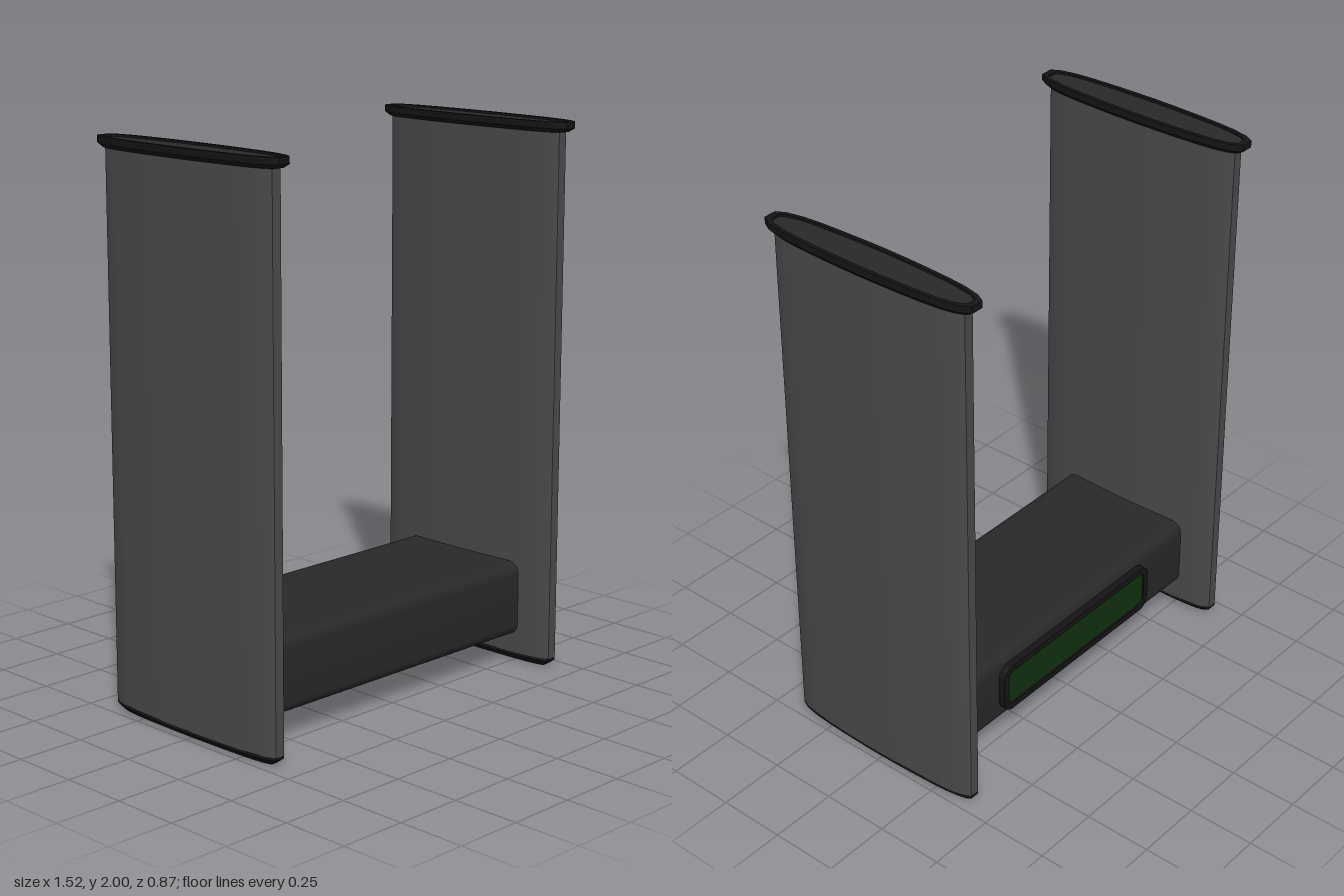
import * as THREE from 'three';
import { toCreasedNormals } from 'three/addons/utils/BufferGeometryUtils.js';

const mat = (color) => new THREE.MeshStandardMaterial({ color });
const shellMat = mat(0x4a4a4a), barMat = mat(0x282828), trimMat = mat(0x141414), screenMat = mat(0x12300f);

// One quadrant of the blunt-ended lens section, as fractions of its half width and half depth
const QUADRANT = [[1, 0], [0.985, 0.2], [0.945, 0.4], [0.875, 0.62], [0.78, 0.78], [0.6, 0.92], [0.33, 1]];
const half = [...QUADRANT, ...QUADRANT.slice().reverse().map(([x, z]) => [-x, z])]
  .filter(([x], i, a) => i === 0 || x !== a[i - 1][0]);
const LENS = [...half, ...half.slice(1, -1).reverse().map(([x, z]) => [x, -z])];

// Loft the lens section through levels of [half width, half depth, y]
function loftLens(levels) {
  const n = LENS.length, pos = [], index = [];
  for (const [hx, hz, y] of levels) for (const [x, z] of LENS) pos.push(x * hx, y, z * hz);
  for (let i = 0; i < levels.length - 1; i++) {
    for (let j = 0; j < n; j++) {
      const a = i * n + j, b = i * n + (j + 1) % n;
      index.push(a, a + n, b + n, a, b + n, b);
    }
  }
  const g = new THREE.BufferGeometry();
  g.setAttribute('position', new THREE.Float32BufferAttribute(pos, 3));
  g.setIndex(index);
  return toCreasedNormals(g, 0.6);
}

function roundedRect(w, h, r, Type = THREE.Shape) {
  const s = new Type(), x = w / 2, y = h / 2;
  s.absarc(x - r, y - r, r, 0, Math.PI / 2);
  s.absarc(-x + r, y - r, r, Math.PI / 2, Math.PI);
  s.absarc(-x + r, -y + r, r, Math.PI, Math.PI * 1.5);
  s.absarc(x - r, -y + r, r, Math.PI * 1.5, Math.PI * 2);
  s.closePath();
  return s;
}

const extrude = (shape, depth) =>
  toCreasedNormals(new THREE.ExtrudeGeometry(shape, { depth, bevelEnabled: false, curveSegments: 8 }), 0.6);

function add(parent, name, geometry, material) {
  const mesh = new THREE.Mesh(geometry, material);
  mesh.name = name;
  parent.add(mesh);
  return mesh;
}

export function createModel() {
  const model = new THREE.Group();
  model.name = 'uprightStand';

  // Two lens-shaped uprights with a chamfered foot and a flared rim
  const shell = loftLens([[0.055, 0.4, 0.032], [0.055, 0.4, 1.97]]);
  const foot = loftLens([[0, 0, 0], [0.03, 0.37, 0], [0.055, 0.4, 0.022], [0.055, 0.4, 0.034], [0, 0, 0.034]]);
  const rim = loftLens([
    [0.052, 0.398, 1.962], [0.06, 0.412, 1.962], [0.072, 0.435, 1.976], [0.072, 0.435, 2],
    [0.058, 0.41, 2], [0.058, 0.41, 1.99],
  ]);
  const cap = loftLens([[0.06, 0.412, 1.975], [0.06, 0.412, 1.992], [0, 0, 1.992]]);
  for (const side of [-1, 1]) {
    const upright = new THREE.Group();
    upright.name = side > 0 ? 'leftUpright' : 'rightUpright';
    upright.position.x = side * 0.69;
    add(upright, 'shell', shell, shellMat);
    add(upright, 'foot', foot, trimMat);
    add(upright, 'rim', rim, trimMat);
    add(upright, 'topPlate', cap, barMat);
    model.add(upright);
  }

  // Crossbar with rounded long edges, running into both uprights
  const bar = add(model, 'crossbar', extrude(roundedRect(0.545, 0.28, 0.045), 1.31), barMat);
  bar.geometry.translate(0, 0, -0.655).rotateY(Math.PI / 2);
  bar.position.y = 0.24;

  // Display on the back of the crossbar
  const display = new THREE.Group();
  display.name = 'display';
  display.position.set(0, 0.245, -0.268);
  display.rotation.y = Math.PI;
  const frame = roundedRect(0.82, 0.19, 0.045);
  frame.holes.push(roundedRect(0.77, 0.14, 0.025, THREE.Path));
  add(display, 'bezel', extrude(frame, 0.03), trimMat);
  add(display, 'screen', extrude(roundedRect(0.78, 0.15, 0.025), 0.024), screenMat);
  model.add(display);

  return model;
}
